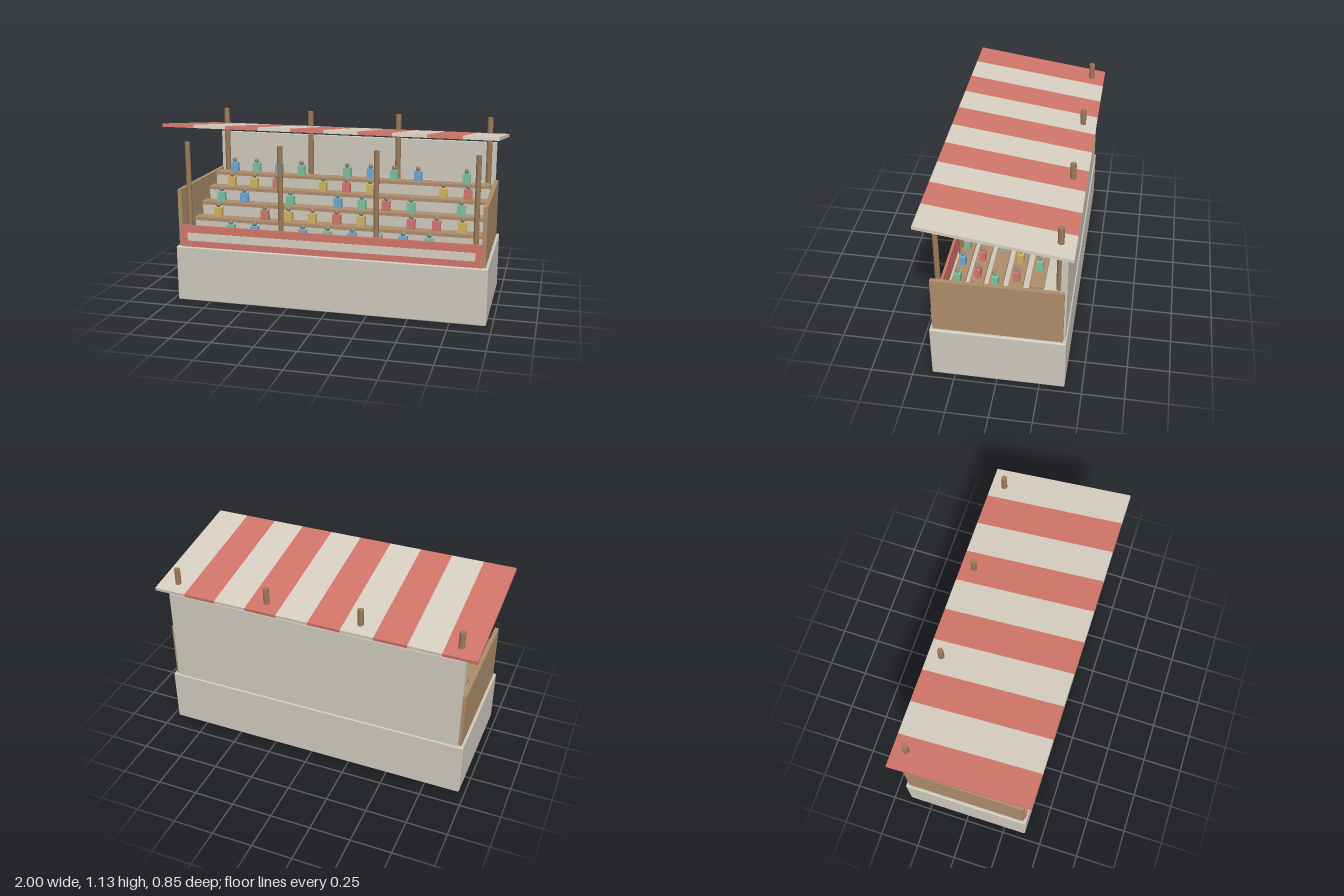
import * as THREE from 'three';
import { RoundedBoxGeometry } from 'three/addons/geometries/RoundedBoxGeometry.js';

const mat = (name, color) => {
  const m = new THREE.MeshStandardMaterial({ color });
  m.name = name;
  return m;
};

export function createModel() {
  const stone = mat('stone', 0xcfcabd);
  const cream = mat('cream', 0xd8d0c2);
  const red = mat('red', 0xd2766a);
  const wood = mat('wood', 0xae8d6c);
  const post = mat('post wood', 0x9c7c5a);
  const blue = mat('blue', 0x70a8d2);
  const green = mat('green', 0x7cc2a0);
  const yellow = mat('yellow', 0xd0b562);
  const grey = mat('head grey', 0x8f8a80);

  const model = new THREE.Group();
  model.name = 'grandstand';

  const add = (name, geometry, material, x, y, z, parent = model) => {
    const mesh = new THREE.Mesh(geometry, material);
    mesh.name = name;
    mesh.position.set(x, y, z);
    parent.add(mesh);
    return mesh;
  };
  // Box given by its limits on each axis
  const box = (name, material, x0, x1, y0, y1, z0, z1) =>
    add(name, new THREE.BoxGeometry(x1 - x0, y1 - y0, z1 - z0), material,
      (x0 + x1) / 2, (y0 + y1) / 2, (z0 + z1) / 2);

  // Plinth and walls
  add('base', new RoundedBoxGeometry(1.93, 0.35, 0.786, 2, 0.008), stone, 0, 0.175, -0.005);
  box('backWall', stone, -0.93, 0.93, 0.345, 0.955, -0.39, -0.355);
  for (const s of [-1, 1]) {
    add(s > 0 ? 'leftWall' : 'rightWall', new THREE.BoxGeometry(0.025, 0.365, 0.746),
      wood, s * 0.936, 0.5275, -0.005);
  }

  // Front barrier with its pale stripe
  box('frontBarrier', red, -0.93, 0.93, 0.345, 0.487, 0.362, 0.377);
  box('barrierStripe', cream, -0.888, 0.888, 0.39, 0.44, 0.376, 0.381);

  // Stepped seating with spectators; one letter per seat, front row first
  const rows = ['_gb_bgbgbg_', 'y_ryyry_rry', 'gb_g_bgrg_g', 'yyr_yry__yr', 'bgbg_gbgb_g'];
  const shirts = { b: blue, g: green, y: yellow, r: red };
  const bodyGeo = new THREE.BoxGeometry(0.05, 0.06, 0.035);
  const headGeo = new THREE.IcosahedronGeometry(0.017, 0);
  headGeo.computeVertexNormals();
  rows.forEach((seats, r) => {
    const top = 0.422 + r * 0.0725;
    const z = 0.288 - r * 0.127;
    box('step', stone, -0.91, 0.91, 0.345, top - 0.018, r === 4 ? -0.356 : z - 0.092, z + 0.035);
    box('benchPlank', wood, -0.912, 0.912, top - 0.02, top, z - 0.04, z + 0.042);
    [...seats].forEach((c, k) => {
      if (c === '_') return;
      const person = new THREE.Group();
      person.name = 'spectator';
      person.position.set((r % 2 ? -0.765 : -0.79) + k * 0.155, top, z);
      add('body', bodyGeo, shirts[c], 0, 0.033, 0, person);
      add('head', headGeo, grey, 0, 0.08, 0.003, person);
      model.add(person);
    });
  });

  // Roof posts
  const posts = (name, radius, y1, z) => {
    const g = new THREE.CylinderGeometry(radius, radius, y1 - 0.345, 10);
    for (const x of [-0.885, -0.295, 0.295, 0.885]) add(name, g, post, x, (y1 + 0.345) / 2, z);
  };
  posts('frontPost', 0.016, 1.002, 0.334);
  posts('backPost', 0.018, 1.117, -0.343);

  // Sloping striped roof
  const roof = new THREE.Group();
  roof.name = 'roof';
  roof.position.set(0, 1.055, 0);
  roof.rotation.x = -0.141;
  model.add(roof);
  const panelGeo = new THREE.BoxGeometry(0.2, 0.02, 0.858);
  for (let i = 0; i < 10; i++) {
    add('roofStripe', panelGeo, i % 2 ? cream : red, -0.9 + i * 0.2, 0, 0, roof);
  }
  return model;
}
